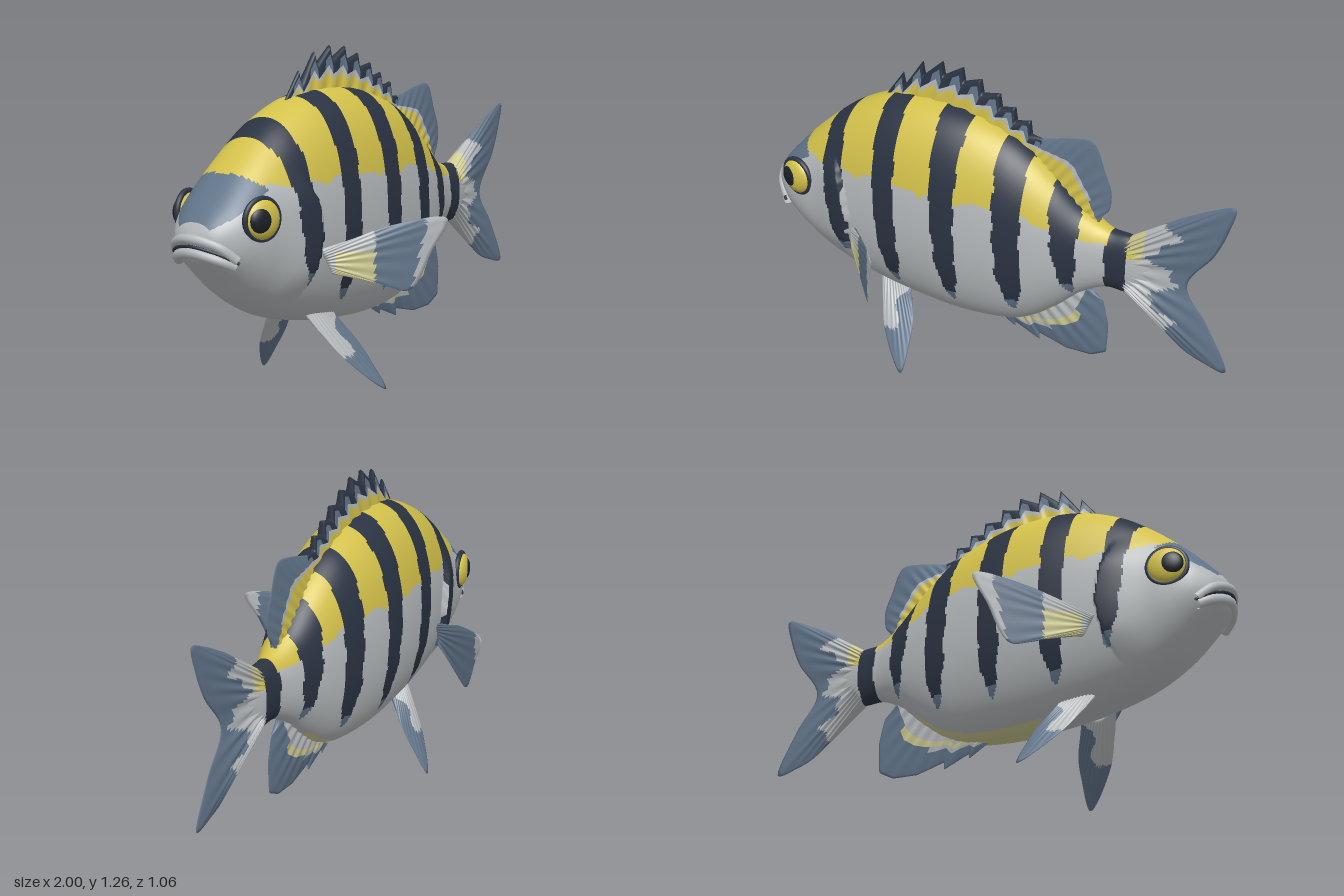
import * as THREE from 'three';

const paint = (name, color) => {
  const m = new THREE.MeshStandardMaterial({ color, side: THREE.DoubleSide });
  m.name = name;
  return m;
};
const GREY = 0, YELLOW = 1, NAVY = 2, SLATE = 3, PALE = 4, BLACK = 5;
const clamp = THREE.MathUtils.clamp, smooth = THREE.MathUtils.smoothstep;

// Body stations: x, top, bottom, half width
const STATIONS = [
  [-0.985, 0.635, 0.59, 0.02], [-0.97, 0.67, 0.555, 0.075], [-0.94, 0.71, 0.525, 0.115],
  [-0.88, 0.775, 0.47, 0.16], [-0.8, 0.855, 0.395, 0.182], [-0.7, 0.94, 0.33, 0.195],
  [-0.6, 1.01, 0.29, 0.207], [-0.45, 1.075, 0.255, 0.22], [-0.3, 1.1, 0.235, 0.226],
  [-0.1, 1.09, 0.222, 0.219], [0.1, 1.03, 0.24, 0.19], [0.2, 0.97, 0.28, 0.165],
  [0.3, 0.89, 0.355, 0.135], [0.4, 0.8, 0.445, 0.1], [0.5, 0.745, 0.497, 0.064],
  [0.6, 0.735, 0.5, 0.047], [0.74, 0.66, 0.57, 0.004],
];

// Smooth interpolation of column k of the stations at x
function station(x, k) {
  const s = STATIONS, n = s.length - 1;
  let i = 0;
  while (i < n - 1 && x > s[i + 1][0]) i++;
  const slope = (j) => {
    const a = s[Math.max(j - 1, 0)], b = s[Math.min(j + 1, n)];
    return (b[k] - a[k]) / (b[0] - a[0]);
  };
  const h = s[i + 1][0] - s[i][0], t = clamp((x - s[i][0]) / h, 0, 1);
  const t2 = t * t, t3 = t2 * t;
  return (2 * t3 - 3 * t2 + 1) * s[i][k] + (t3 - 2 * t2 + t) * h * slope(i)
    + (3 * t2 - 2 * t3) * s[i + 1][k] + (t3 - t2) * h * slope(i + 1);
}

// Grid surface whose cells are sorted into material groups by a colour rule
function surface(name, nu, nv, point, colour, mats) {
  const pos = [], buckets = mats.map(() => []);
  for (let i = 0; i <= nu; i++)
    for (let j = 0; j < nv; j++) pos.push(...point(i / nu, j / nv));
  for (let i = 0; i < nu; i++)
    for (let j = 0; j < nv; j++) {
      const a = i * nv + j, d = i * nv + ((j + 1) % nv), b = a + nv, c = d + nv;
      const u = (i + 0.5) / nu, v = (j + 0.5) / nv;
      buckets[colour(u, v, ...point(u, v))].push(a, b, d, b, c, d);
    }
  const g = new THREE.BufferGeometry();
  g.setAttribute('position', new THREE.Float32BufferAttribute(pos, 3));
  g.setIndex(buckets.flat());
  let start = 0;
  buckets.forEach((b, k) => {
    if (b.length) g.addGroup(start, b.length, k);
    start += b.length;
  });
  g.computeVertexNormals();
  const mesh = new THREE.Mesh(g, mats);
  mesh.name = name;
  return mesh;
}

// Outline helpers: u in 0..1 to [x, y]
const line = (pts) => (u) => {
  const f = u * (pts.length - 1), i = Math.min(Math.floor(f), pts.length - 2), t = f - i;
  return [0, 1].map((k) => pts[i][k] * (1 - t) + pts[i + 1][k] * t);
};
const curve = (pts) => {
  const c = new THREE.CatmullRomCurve3(pts.map(([x, y]) => new THREE.Vector3(x, y, 0)));
  return (u) => { const p = c.getPoint(u); return [p.x, p.y]; };
};
const along = (x0, x1, k, inset) => (u) => {
  const x = x0 + (x1 - x0) * u;
  return [x, station(x, k) + inset];
};

// Fin: lens-shaped sheet between a base line and an outer edge, with shallow rays
function fin(name, o, mats) {
  const { base, edge, thick, taper = 0.8, rays = 12, nu = 72, nv = 48 } = o;
  const place = o.place || ((x, y, t) => [x, y, t]);
  const point = (u, v) => {
    const w = 1 - Math.abs(2 * v - 1), side = v < 0.5 ? 1 : -1;
    const b = base(u), e = edge(u);
    const t = thick * Math.pow(1 - w, taper) * Math.sqrt(1 - Math.pow(Math.abs(2 * u - 1), 4))
      * (1 + 0.15 * Math.cos(u * rays * Math.PI * 2));
    return place(b[0] + (e[0] - b[0]) * w, b[1] + (e[1] - b[1]) * w, side * t);
  };
  const rule = (u, v, x, y) => o.colour(u, 1 - Math.abs(2 * v - 1), v < 0.5, x, y);
  return surface(name, nu, nv, point, rule, mats);
}

// Stripes: top y, left, right, bottom y, left, right
const STRIPES = [
  [0.97, -0.69, -0.59, 0.47, -0.62, -0.535], [1.1, -0.435, -0.33, 0.38, -0.395, -0.31],
  [1.1, -0.18, -0.06, 0.38, -0.13, -0.05], [1.02, 0.08, 0.195, 0.4, 0.12, 0.21],
  [0.89, 0.285, 0.4, 0.51, 0.34, 0.41], [0.74, 0.51, 0.595, 0.4, 0.505, 0.585],
];

function bodyColour(u, v, x, y) {
  for (const [t, l, r, b, l2, r2] of STRIPES) {
    const k = (t - y) / (t - b), low = b - 0.05;
    if (y < low) continue;
    const mid = (l + r + (l2 + r2 - l - r) * k) / 2 + 0.004 * Math.sin(y * 45);
    const half = (r - l + (r2 - l2 - r + l) * k) / 2 * Math.sqrt(clamp((y - low) / 0.15, 0, 1));
    if (Math.abs(x - mid) < half) return y < b ? SLATE : NAVY;
  }
  if (x < -0.82 + (0.84 - y) * 1.2 && x > -0.965 && y > 0.64 + 0.6 * (x + 1)) return SLATE;
  const yellowLine = 0.795 - 0.25 * Math.max(0, x - 0.1) + 0.008 * Math.sin(x * 40);
  if (x > -0.84 && y > yellowLine) return YELLOW;
  if (x > -0.25 && x < 0.3 && y < station(x, 2) + 0.02) return PALE;
  return GREY;
}

function bodyPoint(u, v) {
  const x = -0.985 + 1.725 * u, a = v * Math.PI * 2, n = 2 / 2.2;
  const top = station(x, 1), bot = station(x, 2), s = Math.sin(a), c = Math.cos(a);
  const y = (top + bot) / 2 + (top - bot) / 2 * Math.sign(s) * Math.pow(Math.abs(s), n);
  let z = station(x, 3) * Math.pow(Math.abs(c), n);
  // Raised gill cover ending in a step
  const rim = -0.545 - 1.2 * (y - 0.6) ** 2;
  if (x < rim) z += 0.024 * smooth(x, -0.76, rim) * smooth(y, 0.36, 0.5) * (1 - smooth(y, 0.72, 0.86));
  return [x, y, Math.sign(c) * z];
}

export function createModel() {
  const mats = [
    paint('silver grey', 0xb6babc), paint('yellow', 0xd3c14b), paint('navy', 0x2b3342),
    paint('slate blue', 0x62758a), paint('pale yellow', 0xcbc890), paint('pupil black', 0x1b2028),
  ];
  const fish = new THREE.Group();
  fish.name = 'fish';
  fish.add(surface('body', 220, 160, bodyPoint, bodyColour, mats));

  // Spiny dorsal fin with a sawtooth edge
  const tips = [[-0.4, 1.17], [-0.31, 1.235], [-0.22, 1.255], [-0.13, 1.25], [-0.05, 1.22],
    [0.03, 1.18], [0.095, 1.14], [0.16, 1.1], [0.21, 1.04]];
  const teeth = [[-0.49, 1.05], ...tips.flatMap(([x, y]) => [[x, y], [x + 0.004, y - 0.055]])];
  fish.add(fin('spinyDorsalFin', {
    base: along(-0.47, 0.21, 1, -0.04), edge: line(teeth), thick: 0.03, taper: 0.3, rays: 9, nu: 144,
    colour: (u, w) => (w < 0.5 ? YELLOW : w < 0.62 ? GREY : w > 0.85 || (u * 9) % 1 < 0.3 ? NAVY : SLATE),
  }, mats));
  fish.add(fin('softDorsalFin', {
    base: along(0.12, 0.47, 1, -0.03), thick: 0.024,
    edge: curve([[0.17, 1.03], [0.25, 1.05], [0.33, 1.07], [0.42, 1.075], [0.47, 0.97], [0.5, 0.89],
      [0.49, 0.81], [0.45, 0.78]]),
    colour: (u, w) => (w < 0.36 ? YELLOW : w < 0.44 && u < 0.7 ? GREY : SLATE),
  }, mats));

  fish.add(fin('analFin', {
    base: along(0.0, 0.43, 2, 0.03), thick: 0.026,
    edge: line([[0.02, 0.225], [0.1, 0.18], [0.1, 0.2], [0.21, 0.155], [0.21, 0.185], [0.33, 0.155],
      [0.44, 0.16], [0.505, 0.195], [0.51, 0.32], [0.485, 0.42], [0.43, 0.46]]),
    colour: (u, w) => (w < 0.3 ? GREY : w < 0.42 && u < 0.75 ? PALE : u < 0.5 && w < 0.55 ? GREY : SLATE),
  }, mats));

  fish.add(fin('tailFin', {
    base: line([[0.57, 0.725], [0.57, 0.51]]), thick: 0.042, taper: 0.9, rays: 14,
    edge: curve([[0.78, 0.865], [0.9, 0.93], [0.985, 0.96], [0.965, 0.86], [0.92, 0.75], [0.82, 0.59],
      [0.91, 0.45], [0.995, 0.27], [0.9, 0.285], [0.82, 0.315], [0.73, 0.385]]),
    colour: (u, w, s, x, y) => {
      const limit = 0.73 + 0.05 * Math.sin(y * 34) + 0.02 * Math.sin(y * 90);
      if (x > limit) return SLATE;
      return x < 0.65 && y > 0.66 ? PALE : GREY;
    },
  }, mats));

  for (const side of [1, -1]) {
    const label = side > 0 ? 'left' : 'right';
    fish.add(fin(label + 'PectoralFin', {
      base: line([[-0.53, 0.55], [-0.5, 0.46]]), thick: 0.014,
      edge: curve([[-0.44, 0.59], [-0.36, 0.63], [-0.215, 0.655], [-0.25, 0.54], [-0.31, 0.395],
        [-0.38, 0.42], [-0.46, 0.45]]),
      place: (x, y, t) => [x - t * 0.72, y, side * (0.21 + 1.04 * (x + 0.52) + t * 0.7)],
      colour: (u, w, outer, x, y) => {
        if (!outer) return x > -0.25 ? GREY : SLATE;
        if (x < -0.4) return y < 0.54 && x > -0.5 ? PALE : GREY;
        return x < -0.27 - (0.62 - y) * 0.15 ? SLATE : GREY;
      },
    }, mats));
    fish.add(fin(label + 'PelvicFin', {
      base: line([[-0.48, 0.3], [-0.33, 0.28]]), thick: 0.016,
      edge: curve([[-0.45, 0.23], [-0.39, 0.12], [-0.26, 0], [-0.262, 0.1], [-0.275, 0.17], [-0.315, 0.25]]),
      place: (x, y, t) => [x, y + t * 0.57, side * (0.1 + (0.27 - y) * 0.72 + t * 0.82)],
      colour: (u, w, outer, x, y) => (y > 0.13 && x < -0.35 + 0.02 * Math.sin(y * 50) ? GREY : SLATE),
    }, mats));

    // Eye: dark rim, yellow iris and large pupil
    const eye = new THREE.Group();
    eye.name = label + 'Eye';
    eye.position.set(-0.81, 0.69, side * 0.172);
    eye.rotation.y = side > 0 ? -0.2 : Math.PI + 0.2;
    const ball = (name, r, depth, x, z, mat) => {
      const m = new THREE.Mesh(new THREE.SphereGeometry(r, 32, 20), mat);
      m.name = name;
      m.scale.z = depth;
      m.position.set(x * side, 0, z);
      eye.add(m);
    };
    ball('iris', 0.07, 0.45, 0, 0.004, mats[YELLOW]);
    ball('pupil', 0.05, 0.5, -0.014, 0.014, mats[BLACK]);
    const rim = new THREE.Mesh(new THREE.TorusGeometry(0.071, 0.011, 10, 40), mats[NAVY]);
    rim.name = 'eyeRim';
    eye.add(rim);
    fish.add(eye);
  }

  // Lips wrapping the snout, with a dark mouth line between
  const lip = (name, pts, r, mat) => {
    const half = pts.map((p) => new THREE.Vector3(...p));
    const path = [...half, ...half.slice(0, -1).reverse().map((p) => new THREE.Vector3(p.x, p.y, -p.z))];
    const m = new THREE.Mesh(new THREE.TubeGeometry(new THREE.CatmullRomCurve3(path), 48, r, 10), mat);
    m.name = name;
    fish.add(m);
  };
  lip('upperLip', [[-0.9, 0.555, 0.138], [-0.95, 0.605, 0.095], [-0.982, 0.628, 0]], 0.018, mats[GREY]);
  lip('lowerLip', [[-0.9, 0.535, 0.132], [-0.945, 0.56, 0.09], [-0.975, 0.58, 0]], 0.02, mats[GREY]);
  lip('mouthLine', [[-0.9, 0.546, 0.148], [-0.953, 0.582, 0.1], [-0.987, 0.604, 0]], 0.006, mats[NAVY]);
  return fish;
}
